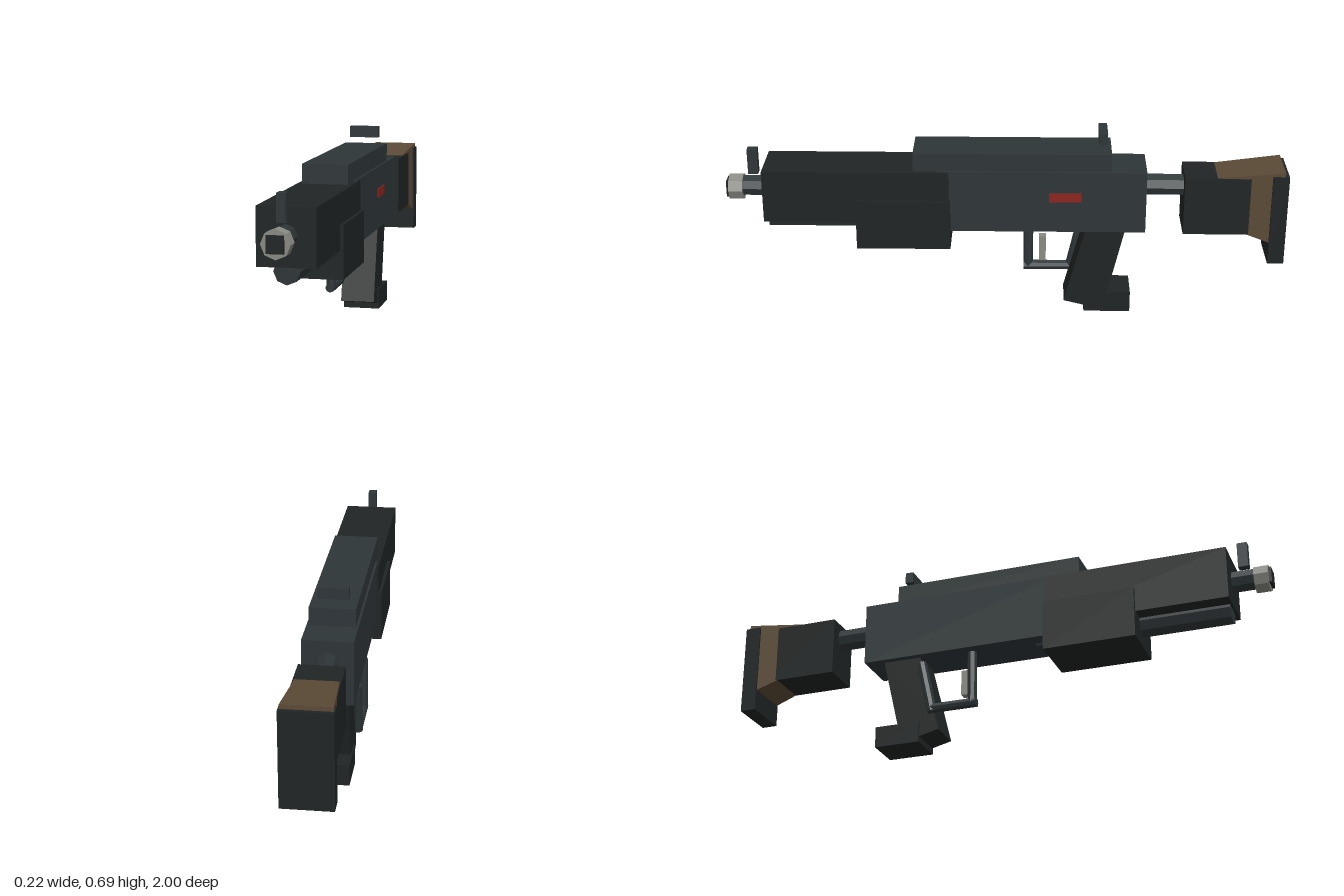
import * as THREE from 'three';

const mat = (color) => new THREE.MeshStandardMaterial({ color, flatShading: true });

export function createModel() {
  const model = new THREE.Group();
  const steel = mat(0x2e3538), dark = mat(0x202424), wood = mat(0x5b4a36);
  const grey = mat(0x8a8a84), red = mat(0x8c231c);

  const add = (name, geometry, material) => {
    const mesh = new THREE.Mesh(geometry, material);
    mesh.name = name;
    model.add(mesh);
    return mesh;
  };
  // Box from its extents on each axis
  const box = (name, material, [x0, x1], [y0, y1], [z0, z1]) => {
    const mesh = add(name, new THREE.BoxGeometry(x1 - x0, y1 - y0, z1 - z0), material);
    mesh.position.set((x0 + x1) / 2, (y0 + y1) / 2, (z0 + z1) / 2);
    return mesh;
  };
  const wide = (name, material, half, y, z) => box(name, material, [-half, half], y, z);
  // Eight-sided rod between two points
  const rod = (name, material, radius, a, b) => {
    const from = new THREE.Vector3(...a), to = new THREE.Vector3(...b);
    const mesh = add(name, new THREE.CylinderGeometry(radius, radius, from.distanceTo(to), 8), material);
    mesh.position.copy(from).add(to).multiplyScalar(0.5);
    mesh.quaternion.setFromUnitVectors(new THREE.Vector3(0, 1, 0), to.sub(from).normalize());
    return mesh;
  };

  // Body
  wide('receiver', steel, 0.088, [0.33, 0.56], [-0.5, 0.24]);
  wide('topCover', steel, 0.08, [0.55, 0.625], [-0.375, 0.325]);
  wide('barrelShroud', dark, 0.097, [0.365, 0.557], [0.2, 0.86]);
  wide('foreGrip', dark, 0.109, [0.268, 0.452], [0.195, 0.53]);
  box('sidePanel', red, [0.08, 0.092], [0.447, 0.48], [-0.27, -0.155]);

  // Barrel and lower tube
  rod('barrel', steel, 0.038, [0, 0.465, 0.8], [0, 0.465, 0.95]);
  rod('muzzle', grey, 0.048, [0, 0.46, 0.94], [0, 0.46, 0.99]);
  wide('bore', dark, 0.028, [0.432, 0.489], [0.95, 1]);
  rod('lowerTube', steel, 0.044, [0, 0.352, 0.145], [0, 0.352, 0.852]);

  // Sights
  wide('frontSight', steel, 0.015, [0.515, 0.608], [0.884, 0.92]);
  wide('rearSight', steel, 0.054, [0.651, 0.692], [-0.36, -0.33]);

  // Trigger and its guard, set to one side
  wide('trigger', grey, 0.015, [0.18, 0.275], [-0.147, -0.122]);
  const gx = -0.072;
  rod('guardFront', steel, 0.018, [gx, 0.115, -0.083], [gx, 0.312, -0.083]);
  rod('guardBottom', steel, 0.018, [gx, 0.118, -0.066], [gx, 0.118, -0.245]);
  rod('guardRear', steel, 0.018, [gx, 0.105, -0.235], [gx, 0.3, -0.278]);

  // Slanted grip: a z-y outline extruded across x
  const outline = [[-0.214, 0.04], [-0.355, 0.005], [-0.44, 0.37], [-0.299, 0.37]];
  const gripShape = new THREE.Shape(outline.map(([z, y]) => new THREE.Vector2(-z, y)));
  const grip = add('grip', new THREE.ExtrudeGeometry(gripShape, { depth: 0.126, bevelEnabled: false }), dark);
  grip.rotation.y = Math.PI / 2;
  grip.position.x = -0.063;
  wide('gripBase', dark, 0.068, [0, 0.077], [-0.455, -0.287]);

  // Stock
  rod('stockTube', steel, 0.04, [0, 0.48, -0.45], [0, 0.48, -0.68]);
  wide('stock', dark, 0.078, [0.32, 0.535], [-0.905, -0.635]);
  wide('buttPlate', dark, 0.088, [0.21, 0.547], [-1, -0.942]);

  // Wooden wedge flaring toward the butt
  const wedge = new THREE.BoxGeometry(2, 1, 1);
  const p = wedge.attributes.position;
  for (let i = 0; i < p.count; i++) {
    const back = p.getZ(i) < 0, top = p.getY(i) > 0;
    p.setXYZ(i, p.getX(i) * (back ? 0.084 : 0.072),
      top ? (back ? 0.562 : 0.536) : (back ? 0.275 : 0.36), back ? -0.986 : -0.75);
  }
  wedge.computeVertexNormals();
  add('stockWedge', wedge, wood);

  return model;
}
